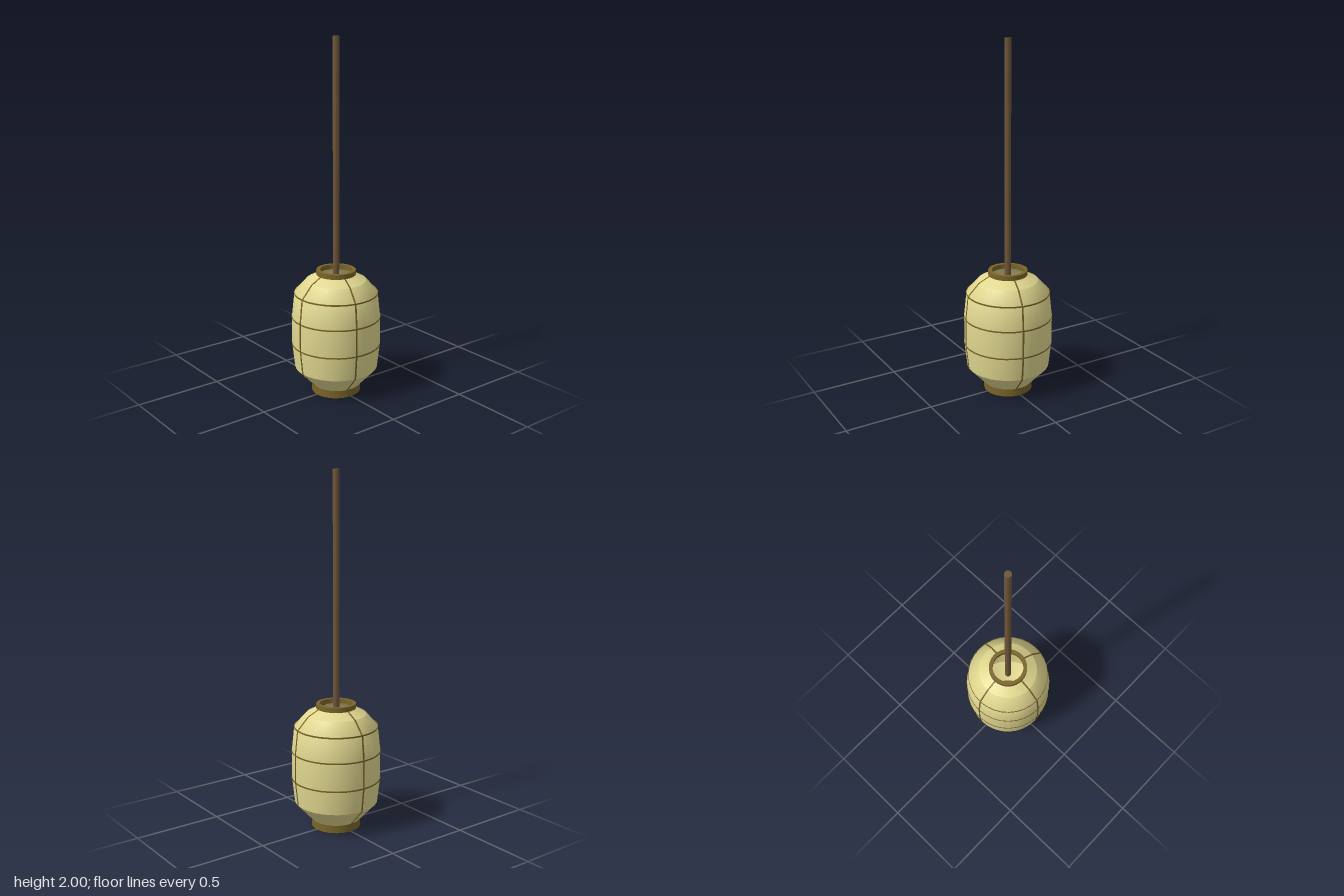
import * as THREE from 'three';
import { toCreasedNormals } from 'three/addons/utils/BufferGeometryUtils.js';

const SIDES = 32;
const paper = new THREE.MeshStandardMaterial({ color: 0xe0d78f, side: THREE.DoubleSide });
const bamboo = new THREE.MeshStandardMaterial({ color: 0x7a6428 });
const wood = new THREE.MeshStandardMaterial({ color: 0x6e5538 });

// Shade profile as [radius, height], bottom to top
const PROFILE = [[0.135, 0.04], [0.235, 0.148], [0.25, 0.287], [0.25, 0.447], [0.235, 0.587], [0.17, 0.66], [0.1, 0.698]];

const vectors = (points) => points.map(([r, y]) => new THREE.Vector2(r, y));

function addMesh(parent, name, geometry, material) {
  const mesh = new THREE.Mesh(geometry, material);
  mesh.name = name;
  parent.add(mesh);
  return mesh;
}

// Sharp-edged ring with a rectangular section
function ringGeometry(inner, outer, y0, y1) {
  const section = [[inner, y0], [outer, y0], [outer, y1], [inner, y1], [inner, y0]];
  return toCreasedNormals(new THREE.LatheGeometry(vectors(section), SIDES), 0.6);
}

export function createModel() {
  const lantern = new THREE.Group();
  lantern.name = 'lantern';

  // Paper shade in three bands, so the edges between them stay sharp
  const shade = new THREE.Group();
  shade.name = 'paperShade';
  lantern.add(shade);
  [['lowerShade', 0, 2], ['middleShade', 1, 6], ['upperShade', 5, 7]].forEach(([name, from, to]) =>
    addMesh(shade, name, new THREE.LatheGeometry(vectors(PROFILE.slice(from, to)), SIDES), paper));

  // Horizontal hoops around the shade
  PROFILE.slice(2, 5).forEach(([r, y]) =>
    addMesh(lantern, 'hoop', ringGeometry(r - 0.001, r + 0.002, y - 0.004, y + 0.004), bamboo));

  // Upright ribs following the profile
  const outside = PROFILE.map(([r, y]) => [r + 0.002, y]);
  const inside = PROFILE.map(([r, y]) => [r - 0.001, y]).reverse();
  const width = 0.009;
  const ribGeometry = new THREE.ExtrudeGeometry(new THREE.Shape(vectors([...outside, ...inside])), { depth: width, bevelEnabled: false });
  ribGeometry.translate(0, 0, -width / 2);
  [0, 7, 15, 24].forEach((step) => {
    const rib = addMesh(lantern, 'rib', ribGeometry, bamboo);
    rib.rotation.y = (step / SIDES) * Math.PI * 2 - Math.PI / 2;
  });

  // End rings, open through the middle
  addMesh(lantern, 'bottomRing', ringGeometry(0.116, 0.139, 0, 0.045), bamboo);
  addMesh(lantern, 'topRing', ringGeometry(0.09, 0.111, 0.693, 0.72), bamboo);

  // Pole reaching down into the shade
  const poleBottom = 0.6;
  const pole = addMesh(lantern, 'pole', new THREE.CylinderGeometry(0.018, 0.018, 2 - poleBottom, 16), wood);
  pole.position.y = (2 + poleBottom) / 2;

  return lantern;
}
